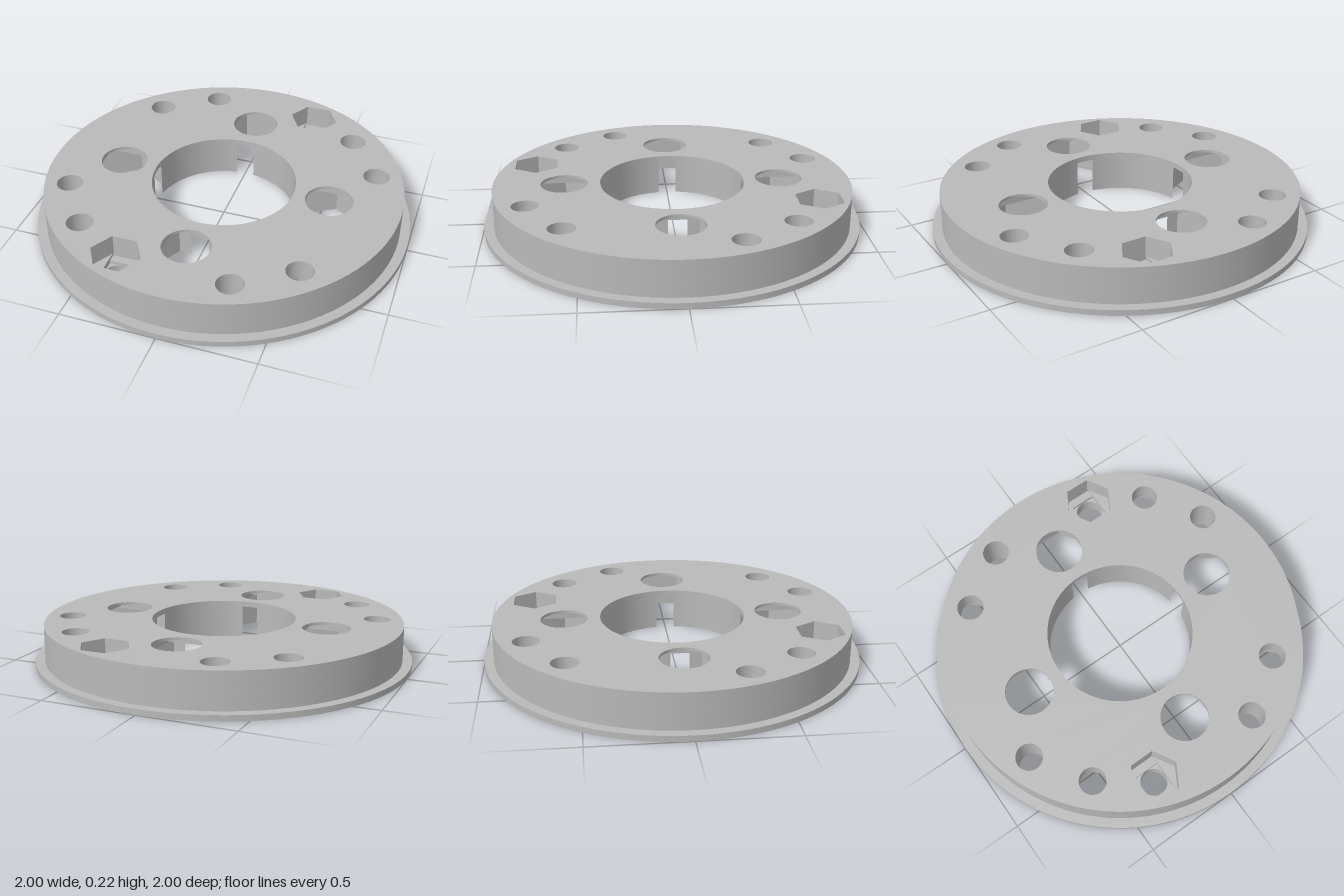
import * as THREE from 'three';
import { toCreasedNormals } from 'three/addons/utils/BufferGeometryUtils.js';

const BORE = 0.383;
const COS30 = Math.cos(Math.PI / 6);
const V = (x, y) => new THREE.Vector2(x, y);

// Points on an arc, both ends included
function arc(r, a0, a1, n) {
  const pts = [];
  for (let i = 0; i <= n; i++) {
    const a = a0 + (a1 - a0) * i / n;
    pts.push(V(r * Math.cos(a), r * Math.sin(a)));
  }
  return pts;
}
const circle = (r, n) => arc(r, 0, Math.PI * 2, n).slice(0, n);

// Section of a nut trap: u runs between the hexagon's flats
function section(kind, r, R) {
  const flat = R * COS30;
  if (kind === 'hex') return [[-flat, -R / 2], [0, -R], [flat, -R / 2], [flat, R / 2], [0, R], [-flat, R / 2]].map(p => V(...p));
  const u = kind === 'slot' ? flat : r;
  if (kind !== 'circle') return [V(-u, -r), V(u, -r), V(u, r), V(-u, r)];
  return circle(r, 40);
}

// Moves a section to a centre, turned by an angle
const place = (pts, x, y, angle) =>
  pts.map(p => p.clone().rotateAround(V(0, 0), angle).add(V(x, y)));

// Section changes through the thickness: [upper limit, kind]
const bigSteps = [[0.175, 'hex'], [0.19, 'slot'], [0.205, 'square'], [1, 'circle']];
const lowerSteps = [[0.08, 'hex'], [0.095, 'slot'], [0.11, 'square'], [1, 'circle']];
const upperSteps = [[0.08, 'circle'], [0.095, 'square'], [0.11, 'slot'], [1, 'hex']];
const plainSteps = [[1, 'circle']];
const kindAt = (steps, y) => steps.find(s => y < s[0])[1];

const BIG_X = 0.573, BIG_R = 0.125, BIG_HEX = 0.223;
const SMALL_R = 0.07, SMALL_HEX = 0.132;

// Small bolt holes (x, y = -z, angle of the trap)
const smallHoles = [];
for (let k = 0; k < 4; k++) {
  const a = Math.PI / 4 + k * Math.PI / 2;
  smallHoles.push({ x: 0.808 * Math.cos(a), y: 0.808 * Math.sin(a), angle: a, steps: lowerSteps });
}
for (const s of [1, -1]) {
  smallHoles.push({ x: 0.305 * s, y: 0.733 * s, angle: Math.PI / 2, steps: upperSteps });
  smallHoles.push({ x: -0.287 * s, y: 0.763 * s, angle: 0, steps: plainSteps });
  smallHoles.push({ x: 0.763 * s, y: 0.287 * s, angle: 0, steps: plainSteps });
}

// Centre bore with the four large traps breaking into it
function notchedBore(trap) {
  const edge = BIG_X - BIG_HEX * COS30;
  const b = Math.acos(edge / BORE);
  const h = BORE * Math.sin(b);
  const outline = trap.map(p => V(p.x + BIG_X, p.y));
  const pts = [];
  for (let k = 0; k < 4; k++) {
    const a = k * Math.PI / 2;
    pts.push(...place([V(edge, -h), ...outline, V(edge, h)], 0, 0, a));
    pts.push(...arc(BORE, a + b, a + Math.PI / 2 - b, 20).slice(1, -1));
  }
  return pts;
}

function layer(radius, y0, y1) {
  const mid = (y0 + y1) / 2;
  const shape = new THREE.Shape(circle(radius, 120));
  const cut = pts => shape.holes.push(new THREE.Path(pts));

  const bigKind = kindAt(bigSteps, mid);
  const big = section(bigKind, BIG_R, BIG_HEX);
  if (bigKind === 'hex' || bigKind === 'slot') {
    cut(notchedBore(big));
  } else {
    cut(circle(BORE, 96));
    for (let k = 0; k < 4; k++) {
      const a = k * Math.PI / 2;
      cut(place(big, BIG_X * Math.cos(a), BIG_X * Math.sin(a), a));
    }
  }
  for (const h of smallHoles) {
    cut(place(section(kindAt(h.steps, mid), SMALL_R, SMALL_HEX), h.x, h.y, h.angle));
  }

  const geo = new THREE.ExtrudeGeometry(shape, { depth: y1 - y0, bevelEnabled: false });
  geo.rotateX(-Math.PI / 2);
  geo.translate(0, y0, 0);
  return toCreasedNormals(geo, 0.35);
}

export function createModel() {
  const model = new THREE.Group();
  model.name = 'hubDisc';
  const grey = new THREE.MeshStandardMaterial({ color: 0xbababa });
  grey.name = 'grey';

  // Wide flange at the bottom, then the body in slices between section changes
  const levels = [0, 0.03, 0.08, 0.095, 0.11, 0.175, 0.19, 0.205, 0.22];
  const body = new THREE.Group();
  body.name = 'body';
  for (let i = 0; i + 1 < levels.length; i++) {
    const mesh = new THREE.Mesh(layer(i === 0 ? 1 : 0.95, levels[i], levels[i + 1]), grey);
    mesh.name = i === 0 ? 'flange' : 'bodySlice' + i;
    (i === 0 ? model : body).add(mesh);
  }
  model.add(body);
  return model;
}
